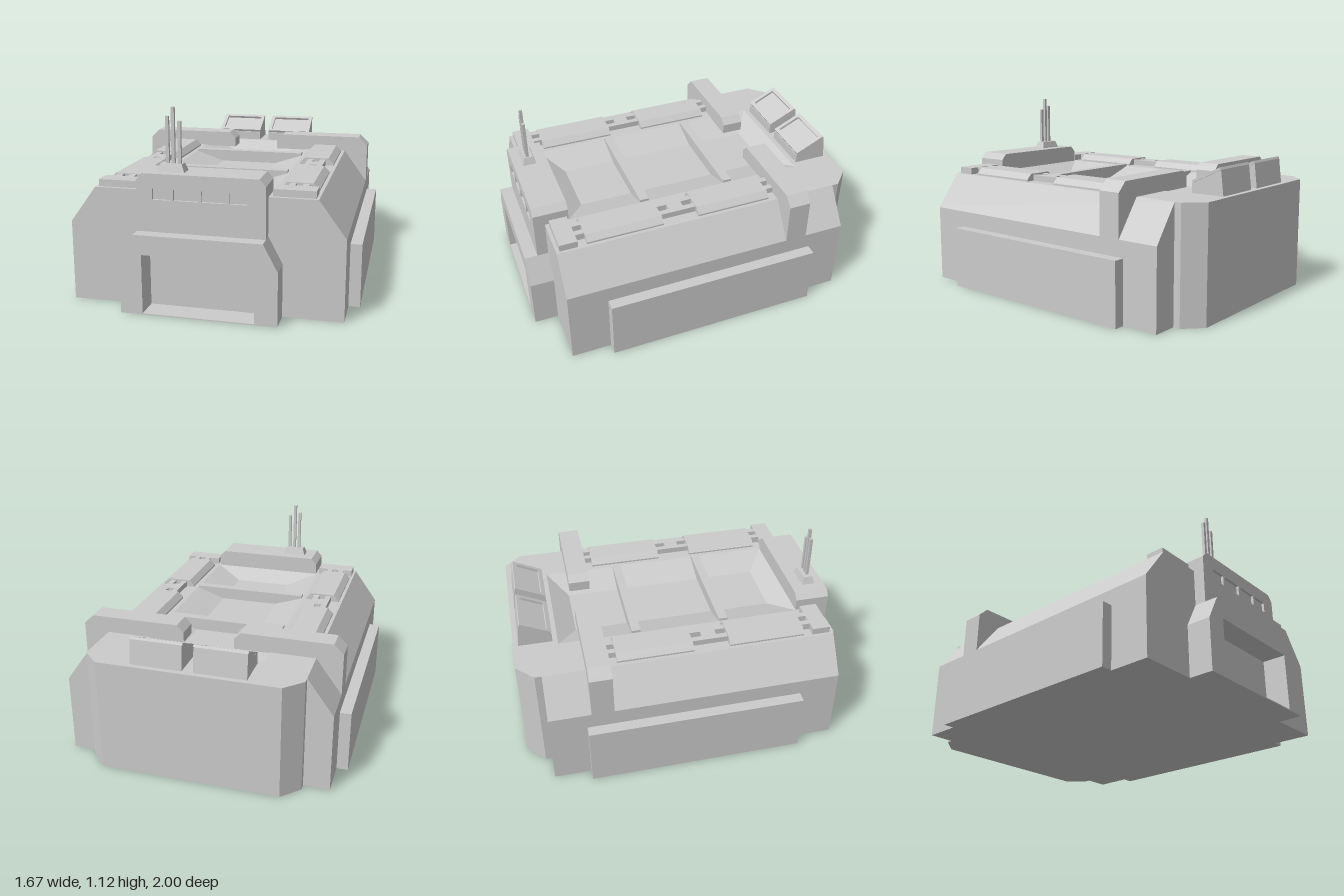
import * as THREE from 'three';

const material = new THREE.MeshStandardMaterial({ color: 0xcccccc, flatShading: true });

const shapeOf = (pts) => new THREE.Shape(pts.map(([x, y]) => new THREE.Vector2(x, y)));
const rectPath = (x0, y0, x1, y1) => shapeOf([[x0, y0], [x1, y0], [x1, y1], [x0, y1]]);
const mirrored = (pts, s) => pts.map(([x, y]) => [x * s, y]);
const extrude = (shape, depth) => new THREE.ExtrudeGeometry(shape, { depth, bevelEnabled: false });

// Front profile (x, y) swept from z0 to z1
const alongZ = (shape, z0, z1) => extrude(shape, z1 - z0).translate(0, 0, z0);

// Plan outline (x, z) swept from y0 to y1
const alongY = (pts, y0, y1) =>
  extrude(shapeOf(pts.map(([x, z]) => [x, -z])), y1 - y0).rotateX(-Math.PI / 2).translate(0, y0, 0);

// Stack of rectangular rings [x0, x1, z0, z1, y], joined and capped
function loft(rings) {
  const corners = rings.map(([x0, x1, z0, z1, y]) => [[x0, y, z1], [x1, y, z1], [x1, y, z0], [x0, y, z0]]);
  const out = [];
  const quad = (a, b, c, d) => out.push(...a, ...b, ...c, ...a, ...c, ...d);
  for (let r = 0; r < corners.length - 1; r++) {
    const lo = corners[r], hi = corners[r + 1];
    for (let i = 0; i < 4; i++) {
      const j = (i + 1) % 4;
      quad(lo[i], lo[j], hi[j], hi[i]);
    }
  }
  const first = corners[0];
  quad(first[3], first[2], first[1], first[0]);
  quad(...corners[corners.length - 1]);
  const geometry = new THREE.BufferGeometry();
  geometry.setAttribute('position', new THREE.Float32BufferAttribute(out, 3));
  geometry.computeVertexNormals();
  return geometry;
}

export function createModel() {
  const model = new THREE.Group();
  model.name = 'bunkerBuilding';
  const add = (name, geometry) => {
    const mesh = new THREE.Mesh(geometry, material);
    mesh.name = name;
    model.add(mesh);
    return mesh;
  };
  const box = (name, x0, x1, y0, y1, z0, z1) =>
    add(name, new THREE.BoxGeometry(x1 - x0, y1 - y0, z1 - z0)
      .translate((x0 + x1) / 2, (y0 + y1) / 2, (z0 + z1) / 2));

  // Hull with sloped shoulders and a shallow sunken roof
  add('hull', loft([
    [-0.77, 0.77, -0.86, 0.86, 0],
    [-0.77, 0.77, -0.86, 0.86, 0.46],
    [-0.62, 0.62, -0.86, 0.86, 0.665],
    [-0.36, 0.36, -0.74, 0.72, 0.665],
    [-0.18, 0.18, -0.62, 0.6, 0.605],
  ]));

  // Rear block with clipped corners
  add('rearBlock', alongY([
    [-0.62, -0.86], [-0.62, -0.9], [-0.52, -1], [0.52, -1], [0.62, -0.9], [0.62, -0.86],
  ], 0, 0.665));

  // Entrance porch framing a deep doorway
  add('porch', alongZ(shapeOf([
    [-0.435, 0], [-0.31, 0], [-0.31, 0.34], [0.31, 0.34], [0.31, 0],
    [0.435, 0], [0.435, 0.3], [0.355, 0.45], [-0.355, 0.45], [-0.435, 0.3],
  ]), 0.86, 1));
  box('doorSill', -0.31, 0.31, 0, 0.006, 0.86, 1);

  // Control tower: solid body, then a front skin with window openings
  const tower = [[-0.355, 0.45], [0.355, 0.45], [0.355, 0.735], [0.32, 0.772], [-0.32, 0.772], [-0.355, 0.735]];
  add('tower', alongZ(shapeOf(tower), 0.72, 0.91));
  const skin = shapeOf(tower);
  for (const [x0, x1] of [[-0.265, -0.165], [-0.148, -0.012], [0.008, 0.143], [0.16, 0.26]]) {
    skin.holes.push(rectPath(x0, 0.63, x1, 0.692));
  }
  add('towerWindowWall', alongZ(skin, 0.91, 0.925));

  // Antenna cluster
  add('antennaBase', loft([
    [-0.255, -0.1, 0.79, 0.87, 0.77],
    [-0.238, -0.118, 0.802, 0.858, 0.815],
  ]));
  for (const [x, top] of [[-0.202, 1.07], [-0.17, 1.12], [-0.135, 1.045]]) {
    box('antennaRod', x - 0.009, x + 0.009, 0.81, top, 0.826, 0.844);
  }

  // Beams bridging the sunken roof
  for (const z of [-0.278, 0.258]) {
    add('roofBeam', alongZ(shapeOf([
      [-0.355, 0.655], [-0.18, 0.6], [0.18, 0.6], [0.355, 0.655], [0.355, 0.678], [-0.355, 0.678],
    ]), z - 0.027, z + 0.027));
  }

  // Parts on both sides
  for (const s of [1, -1]) {
    // Flank slab
    const flank = [0.76 * s, 0.835 * s].sort((a, b) => a - b);
    box('sidePanel', flank[0], flank[1], 0, 0.365, -0.645, 0.628);

    // Arm wrapping over the shoulder onto the roof
    add('shoulderArm', alongZ(shapeOf(mirrored([
      [0.77, 0.46], [0.77, 0.705], [0.715, 0.76], [0.19, 0.76], [0.15, 0.72],
      [0.15, 0.66], [0.6, 0.66], [0.7, 0.46],
    ], s)), -0.615, -0.485));

    // Chamfered roof panels
    for (const [z0, z1] of [[-0.435, 0.015], [0.23, 0.683]]) {
      add('roofPanel', alongZ(shapeOf(mirrored([
        [0.388, 0.66], [0.6, 0.66], [0.6, 0.675], [0.567, 0.708], [0.42, 0.708], [0.388, 0.675],
      ], s)), z0, z1));
    }

    // Notched links between the panels
    add('middleLink', alongY(mirrored([
      [0.44, 0.015], [0.475, 0.015], [0.475, 0.08], [0.515, 0.08], [0.515, 0.015], [0.55, 0.015],
      [0.55, 0.23], [0.515, 0.23], [0.515, 0.167], [0.475, 0.167], [0.475, 0.23], [0.44, 0.23],
    ], s), 0.66, 0.7));
    add('rearLink', alongY(mirrored([
      [0.44, -0.55], [0.55, -0.55], [0.55, -0.435], [0.515, -0.435],
      [0.515, -0.485], [0.475, -0.485], [0.475, -0.435], [0.44, -0.435],
    ], s), 0.66, 0.7));
    add('frontLink', alongY(mirrored([
      [0.44, 0.683], [0.475, 0.683], [0.475, 0.735], [0.515, 0.735], [0.515, 0.683], [0.55, 0.683],
      [0.55, 0.735], [0.605, 0.735], [0.605, 0.84], [0.375, 0.84], [0.375, 0.735], [0.44, 0.735],
    ], s), 0.66, 0.705));

    // Tilted roof vent: wedge plus raised rim around a sunken face
    const x = 0.18 * s;
    const wedge = shapeOf([[0.77, 0.66], [0.97, 0.66], [0.952, 0.806], [0.777, 0.721], [0.77, 0.721]]);
    add('ventBody', extrude(wedge, 0.296).rotateY(Math.PI / 2).translate(x - 0.148, 0, 0));
    const rim = rectPath(-0.15, -0.0975, 0.15, 0.0975);
    rim.holes.push(rectPath(-0.126, -0.072, 0.126, 0.072));
    const rimMesh = add('ventRim', extrude(rim, 0.015));
    rimMesh.rotation.x = -Math.PI / 2 + Math.atan2(0.085, 0.175);
    rimMesh.position.set(x, 0.764, -0.864);
  }
  return model;
}
